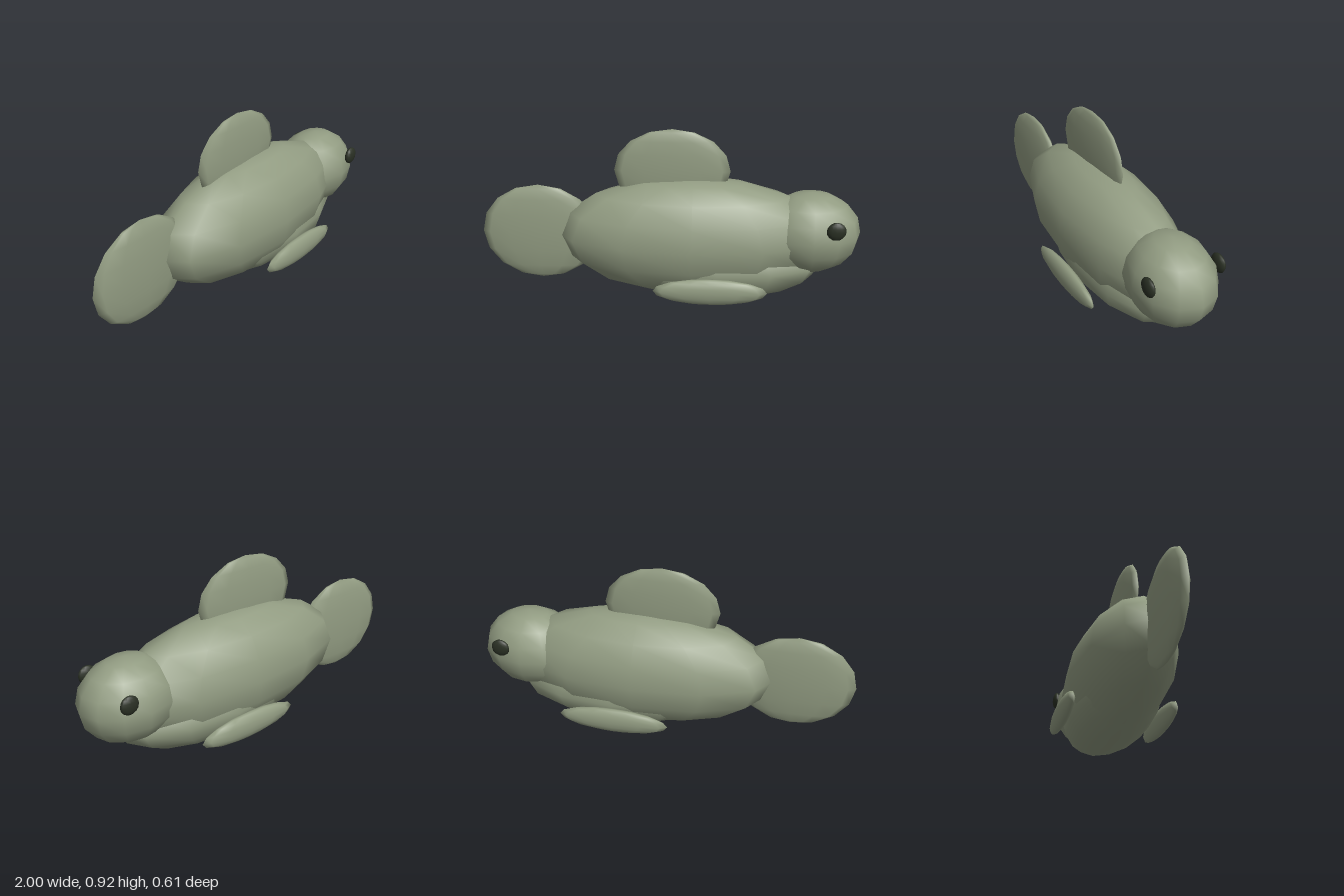
import * as THREE from 'three';

const skin = new THREE.MeshStandardMaterial({ name: 'sage green', color: 0x929c82 });
const dark = new THREE.MeshStandardMaterial({ name: 'dark olive', color: 0x2a3024 });

// Smooth low-poly ellipsoid with its pole along y
function ellipsoid(name, material, centre, radii) {
  const geometry = new THREE.SphereGeometry(1, 12, 8);
  geometry.scale(...radii);
  const mesh = new THREE.Mesh(geometry, material);
  mesh.name = name;
  mesh.position.set(...centre);
  return mesh;
}

export function createModel() {
  const fish = new THREE.Group();
  fish.name = 'fish';

  // Trunk, belly and head overlap along x, head towards +x
  fish.add(
    ellipsoid('body', skin, [0.125, 0.342, 0], [0.72, 0.322, 0.258]),
    ellipsoid('belly', skin, [0.25, 0.204, 0], [0.56, 0.2, 0.235]),
    ellipsoid('head', skin, [0.74, 0.38, 0], [0.26, 0.218, 0.205])
  );

  // Upright fins on the centre plane
  fish.add(
    ellipsoid('dorsalFin', skin, [0.015, 0.7, 0], [0.3, 0.22, 0.036]),
    ellipsoid('tailFin', skin, [-0.69, 0.343, 0], [0.31, 0.266, 0.042])
  );

  // Paired lower fins and eyes
  for (const [side, s] of [['near', 1], ['far', -1]]) {
    fish.add(
      ellipsoid(side + 'SideFin', skin, [0.22, 0.145, 0.27 * s], [0.29, 0.07, 0.035]),
      ellipsoid(side + 'Eye', dark, [0.845, 0.458, 0.188 * s], [0.049, 0.048, 0.021])
    );
  }
  return fish;
}
